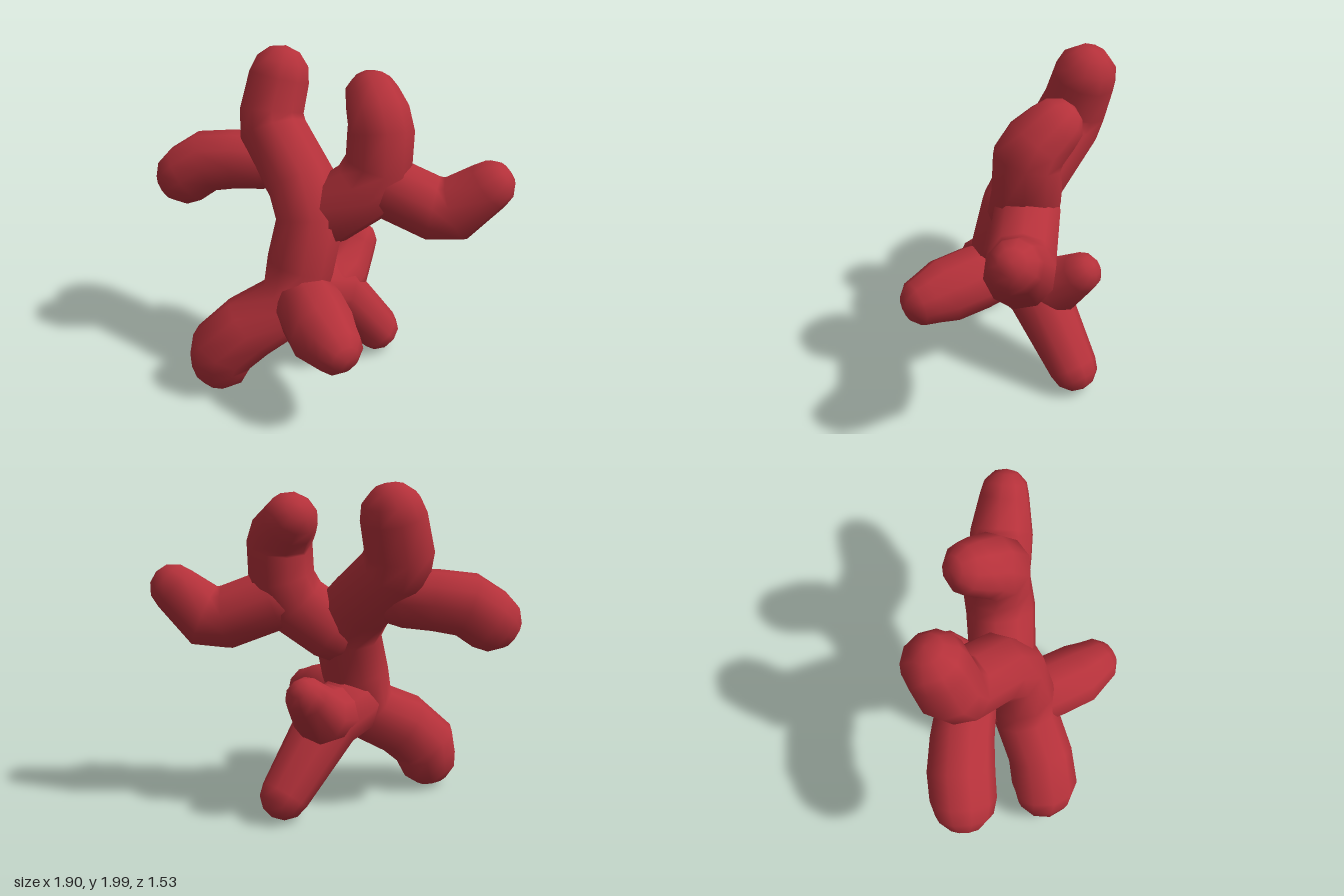
import * as THREE from 'three';

const SIDES = 10;

// Capped tube through points [x, y, z, radius], smooth shaded, rounded at both ends
function branchGeometry(points) {
  const pts = points.map(p => new THREE.Vector3(p[0], p[1], p[2]));
  const n = pts.length;
  const dir = i => pts[i + 1].clone().sub(pts[i]).normalize();
  const rings = [];
  const start = dir(0), end = dir(n - 2);
  const cap = [Math.PI / 6, Math.PI / 3];

  // Rounded start, body, rounded end
  const r0 = points[0][3], r1 = points[n - 1][3];
  for (const a of [...cap].reverse())
    rings.push({ c: pts[0].clone().addScaledVector(start, -r0 * Math.sin(a)), t: start, r: r0 * Math.cos(a) });
  pts.forEach((c, i) => {
    const t = i === 0 ? start : i === n - 1 ? end : dir(i - 1).add(dir(i)).normalize();
    rings.push({ c, t, r: points[i][3] });
  });
  for (const a of cap)
    rings.push({ c: pts[n - 1].clone().addScaledVector(end, r1 * Math.sin(a)), t: end, r: r1 * Math.cos(a) });

  // Carry one side vector along the path so the rings do not twist
  const side = new THREE.Vector3(0, 0, 1);
  if (Math.abs(start.z) > 0.8) side.set(1, 0, 0);
  const pos = [], index = [];
  for (const { c, t, r } of rings) {
    side.addScaledVector(t, -side.dot(t)).normalize();
    const up = new THREE.Vector3().crossVectors(t, side);
    for (let k = 0; k < SIDES; k++) {
      const a = (k / SIDES) * Math.PI * 2;
      const v = c.clone().addScaledVector(side, r * Math.cos(a)).addScaledVector(up, r * Math.sin(a));
      pos.push(v.x, v.y, v.z);
    }
  }
  for (let j = 0; j < rings.length - 1; j++)
    for (let k = 0; k < SIDES; k++) {
      const a = j * SIDES + k, b = j * SIDES + (k + 1) % SIDES;
      index.push(a, b, b + SIDES, a, b + SIDES, a + SIDES);
    }

  // Poles
  const first = pos.length / 3, last = first + 1, base = (rings.length - 1) * SIDES;
  pos.push(...pts[0].clone().addScaledVector(start, -r0).toArray());
  pos.push(...pts[n - 1].clone().addScaledVector(end, r1).toArray());
  for (let k = 0; k < SIDES; k++) {
    const m = (k + 1) % SIDES;
    index.push(first, m, k, last, base + k, base + m);
  }

  const g = new THREE.BufferGeometry();
  g.setAttribute('position', new THREE.Float32BufferAttribute(pos, 3));
  g.setIndex(index);
  g.computeVertexNormals();
  return g;
}

export function createModel() {
  const model = new THREE.Group();
  model.name = 'branchingCoral';
  const red = new THREE.MeshStandardMaterial({ color: 0xb5313a });
  red.name = 'coralRed';

  const branches = {
    // Main stem from the front foot up to the tallest tip
    trunk: [[-0.21, 0.2, 0.57, 0.195], [-0.195, 0.28, 0.56, 0.21], [-0.1, 0.42, 0.44, 0.205], [0.02, 0.56, 0.21, 0.205],
      [0.042, 0.8, 0.148, 0.207], [0.04, 1.07, 0.068, 0.21], [-0.08, 1.26, 0.035, 0.21],
      [-0.36, 1.5, 0.017, 0.21], [-0.405, 1.61, -0.01, 0.2], [-0.41, 1.81, -0.075, 0.19]],
    // Upper fork on the left
    leftFork: [[0.08, 1.1, -0.03, 0.2], [0.24, 1.26, -0.18, 0.205], [0.285, 1.41, -0.245, 0.2],
      [0.29, 1.61, -0.25, 0.195], [0.24, 1.695, -0.275, 0.185], [0.15, 1.765, -0.31, 0.165]],
    leftArm: [[0.31, 1.285, -0.27, 0.19], [0.55, 1.17, -0.44, 0.195], [0.655, 1.18, -0.52, 0.195], [0.8, 1.34, -0.62, 0.15]],
    rightArm: [[-0.37, 1.32, 0.08, 0.17], [-0.52, 1.315, 0.18, 0.18], [-0.665, 1.29, 0.295, 0.19], [-0.76, 1.2, 0.39, 0.188]],
    // Lower supports
    leftLeg: [[0.14, 0.595, 0.19, 0.198], [0.24, 0.585, 0.225, 0.207], [0.43, 0.555, 0.3, 0.205], [0.55, 0.545, 0.33, 0.167]],
    backLeg: [[0.03, 0.61, 0.08, 0.205], [0.04, 0.54, -0.12, 0.195], [0.09, 0.155, -0.45, 0.148]],
    backSpur: [[0.03, 0.58, -0.08, 0.19], [-0.015, 0.62, -0.25, 0.175], [-0.035, 0.76, -0.385, 0.127]],
  };
  for (const [name, points] of Object.entries(branches)) {
    const mesh = new THREE.Mesh(branchGeometry(points), red);
    mesh.name = name;
    model.add(mesh);
  }
  return model;
}
